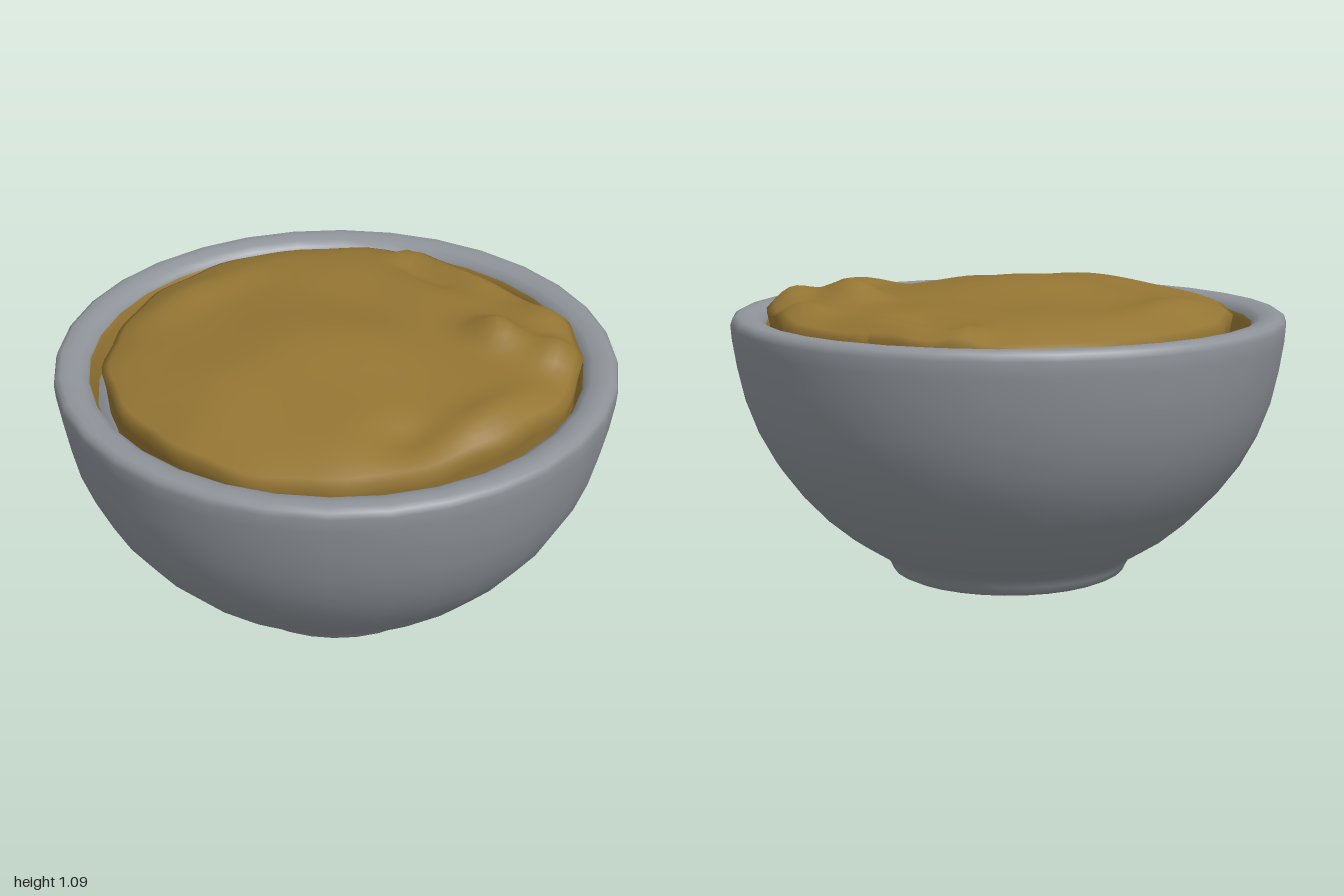
import * as THREE from 'three';

const glaze = new THREE.MeshStandardMaterial({ color: 0x8f949a });
glaze.name = 'greyGlaze';
const paste = new THREE.MeshStandardMaterial({ color: 0x947533, side: THREE.DoubleSide });
paste.name = 'brownPaste';

const lathe = (points, segments) =>
  new THREE.LatheGeometry(points.map(([r, y]) => new THREE.Vector2(r, y)), segments);

// Edge radius of the filling every 30 degrees, from +x towards +z
const edge = [0.795, 0.865, 0.86, 0.815, 0.825, 0.85, 0.82, 0.825, 0.8, 0.82, 0.84, 0.85];
// Lumps and hollows: x, z, height, x spread, z spread
const lumps = [
  [-0.18, 0.02, 0.055, 0.2, 0.3], [0.05, 0.02, 0.03, 0.16, 0.25],
  [-0.5, -0.05, 0.025, 0.16, 0.3], [0.42, 0.38, 0.085, 0.09, 0.12],
  [0.5, 0.6, 0.075, 0.1, 0.1], [0.68, 0.4, 0.045, 0.08, 0.12],
  [0.02, 0.72, 0.045, 0.22, 0.09], [-0.25, 0.6, -0.03, 0.1, 0.08],
  [0.6, -0.13, -0.03, 0.05, 0.14], [0.7, -0.33, 0.03, 0.1, 0.05],
  [0.72, 0.02, 0.03, 0.05, 0.2], [-0.1, -0.62, 0.025, 0.3, 0.1],
];

function edgeRadius(a) {
  const t = (a / (Math.PI * 2)) * 12, i = Math.floor(t), f = t - i;
  const s = f * f * (3 - 2 * f);
  return THREE.MathUtils.lerp(edge[i % 12], edge[(i + 1) % 12], s) + 0.006 * Math.sin(17 * a);
}

function surfaceHeight(x, z, t) {
  let y = 0.95 + 0.072 * (1 - t ** 6);
  for (const [cx, cz, h, sx, sz] of lumps)
    y += h * Math.exp(-(((x - cx) / sx) ** 2) - ((z - cz) / sz) ** 2);
  return y + 0.006 * Math.sin(9 * x + 4 * z) * Math.sin(8 * z - 3 * x);
}

// Polar grid: lumpy top followed by a short skirt turned down inside the bowl
function fillingGeometry(rings = 32, segments = 96) {
  const position = [], index = [];
  for (let i = 0; i <= rings + 2; i++) {
    for (let j = 0; j <= segments; j++) {
      const a = ((j % segments) / segments) * Math.PI * 2, R = edgeRadius(a);
      const t = Math.min(i / rings, 1), skirt = Math.max(i - rings, 0);
      const r = R * (t - skirt * 0.012);
      const x = r * Math.cos(a), z = r * Math.sin(a);
      const y = skirt === 2 ? 0.8 : surfaceHeight(R * t * Math.cos(a), R * t * Math.sin(a), t) - skirt * 0.05;
      position.push(x, y, z);
    }
  }
  const w = segments + 1;
  for (let i = 0; i < rings + 2; i++) {
    for (let j = 0; j < segments; j++) {
      const p = i * w + j, q = p + w;
      if (i > 0) index.push(p, p + 1, q);
      index.push(p + 1, q + 1, q);
    }
  }
  const g = new THREE.BufferGeometry();
  g.setAttribute('position', new THREE.Float32BufferAttribute(position, 3));
  g.setIndex(index);
  g.computeVertexNormals();
  return g;
}

export function createModel() {
  const model = new THREE.Group();
  model.name = 'filledBowl';
  const add = (name, geometry, material) => {
    const mesh = new THREE.Mesh(geometry, material);
    mesh.name = name;
    model.add(mesh);
  };

  // Underside of the foot
  add('footBase', lathe([[0, 0.012], [0.385, 0.012], [0.4, 0.008]], 32), glaze);

  // Outer wall, rounded rim and inner wall in one turned shell
  add('bowl', lathe([
    [0.4, 0.008], [0.425, 0.02], [0.437, 0.045], [0.455, 0.075], [0.52, 0.115],
    [0.59, 0.16], [0.68, 0.235], [0.77, 0.33], [0.845, 0.43], [0.905, 0.54],
    [0.95, 0.66], [0.977, 0.78], [0.993, 0.88], [0.997, 0.93], [0.99, 0.952],
    [0.972, 0.963], [0.94, 0.964], [0.905, 0.956], [0.88, 0.94], [0.87, 0.915],
    [0.858, 0.86], [0.838, 0.78], [0.79, 0.62], [0.69, 0.42], [0.5, 0.24],
    [0.28, 0.15], [0, 0.13],
  ], 32), glaze);

  // Smear left on the inner wall under the rim
  add('wallSmear', lathe([[0.874, 0.928], [0.866, 0.914], [0.853, 0.86], [0.848, 0.84]], 32), paste);

  add('filling', fillingGeometry(), paste);
  return model;
}
